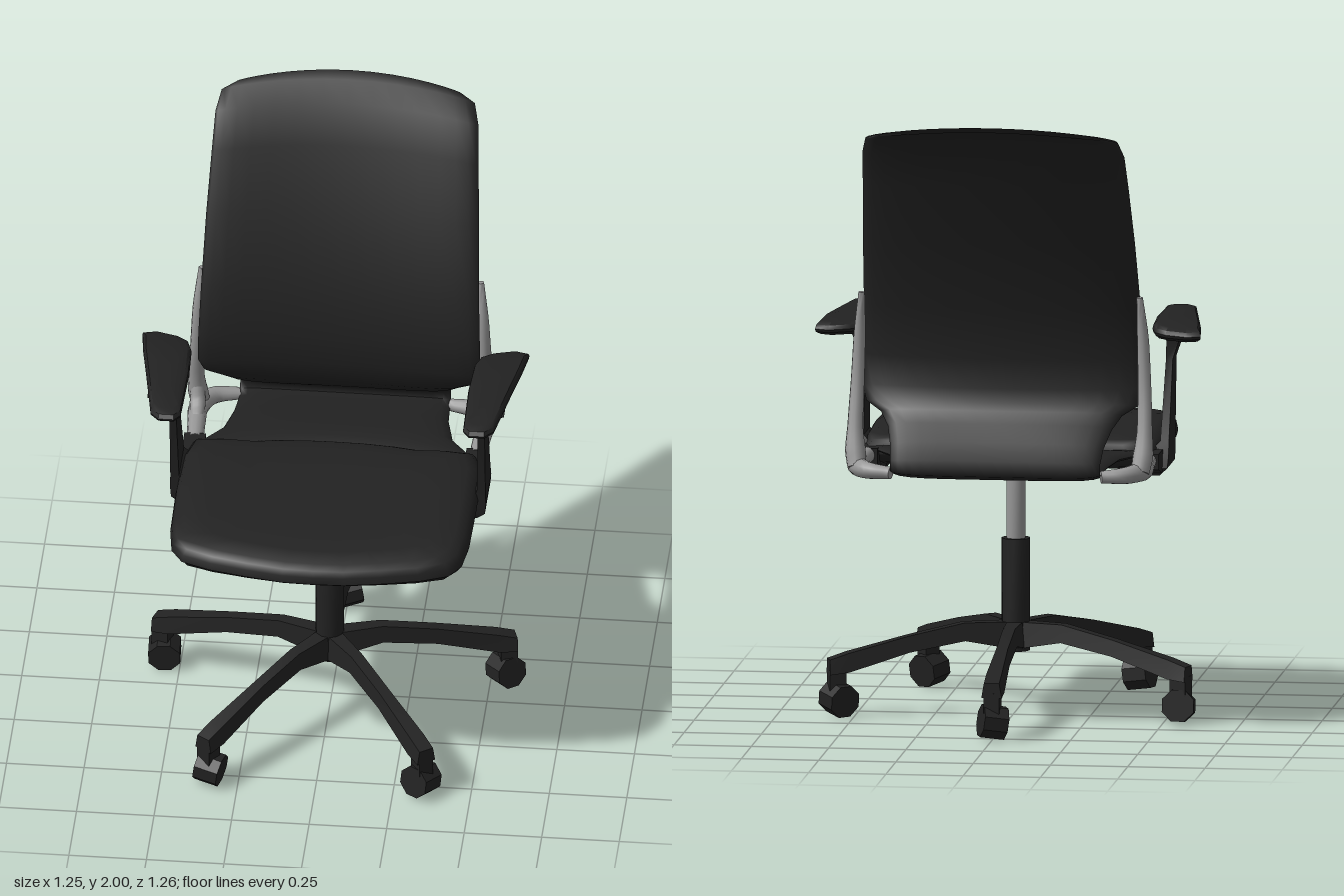
import * as THREE from 'three';
import { toCreasedNormals } from 'three/addons/utils/BufferGeometryUtils.js';

const mat = (name, color) => Object.assign(new THREE.MeshStandardMaterial({ color }), { name });

// Closed skin through equal-length rings of [x, y, z], capped at both ends
function loft(rings, crease = 0.7) {
  const n = rings[0].length, pos = [], idx = [];
  rings.forEach(r => r.forEach(p => pos.push(...p)));
  for (let i = 0; i < rings.length - 1; i++) {
    for (let j = 0; j < n; j++) {
      const a = i * n + j, b = i * n + (j + 1) % n;
      idx.push(a, b, b + n, a, b + n, a + n);
    }
  }
  [0, rings.length - 1].forEach((k, end) => {
    const c = pos.length / 3;
    for (let d = 0; d < 3; d++) pos.push(rings[k].reduce((s, p) => s + p[d], 0) / n);
    for (let j = 0; j < n; j++) {
      const a = k * n + j, b = k * n + (j + 1) % n;
      idx.push(c, ...(end ? [a, b] : [b, a]));
    }
  });
  // Signed volume decides whether the faces must be turned outward
  const v = i => new THREE.Vector3().fromArray(pos, i * 3);
  let volume = 0;
  for (let i = 0; i < idx.length; i += 3) volume += v(idx[i]).dot(v(idx[i + 1]).cross(v(idx[i + 2])));
  if (volume < 0) idx.reverse();
  const g = new THREE.BufferGeometry();
  g.setAttribute('position', new THREE.Float32BufferAttribute(pos, 3));
  g.setIndex(idx);
  return toCreasedNormals(g, crease);
}

// Round bar along a curve, with a radius at each control point
function taperedTube(points, radii, steps = 18, sides = 12) {
  const curve = new THREE.CatmullRomCurve3(points.map(p => new THREE.Vector3(...p)));
  const frames = curve.computeFrenetFrames(steps);
  const rings = [];
  for (let i = 0; i <= steps; i++) {
    const f = i / steps * (radii.length - 1), k = Math.min(Math.floor(f), radii.length - 2);
    const r = THREE.MathUtils.lerp(radii[k], radii[k + 1], f - k), c = curve.getPoint(i / steps);
    rings.push(Array.from({ length: sides }, (_, j) => {
      const a = j / sides * Math.PI * 2;
      return c.clone().addScaledVector(frames.normals[i], r * Math.cos(a))
        .addScaledVector(frames.binormals[i], r * Math.sin(a)).toArray();
    }));
  }
  return loft(rings, 1.2);
}

// Seat cushion: one plan outline stacked in layers [scale, height]
function seatGeometry() {
  const half = [[0, 0.635], [0.1, 0.632], [0.22, 0.613], [0.34, 0.588], [0.43, 0.555], [0.468, 0.5], [0.482, 0.4],
    [0.485, 0.2], [0.482, 0], [0.46, -0.1], [0.38, -0.11], [0.28, -0.105], [0.2, -0.12], [0.1, -0.13], [0, -0.132]];
  const outline = [...half, ...half.slice(1, -1).reverse().map(([x, z]) => [-x, z])];
  const layers = [[0.5, 0.812], [0.86, 0.812], [0.96, 0.825], [0.99, 0.845], [1, 0.87], [0.99, 0.893], [0.965, 0.912],
    [0.91, 0.924], [0.75, 0.928], [0.5, 0.926], [0.2, 0.924]];
  return loft(layers.map(([s, h]) => outline.map(([x, z]) => {
    const zz = 0.25 + (z - 0.25) * s;
    const back = Math.max(0, 0.1 - zz), nose = Math.max(0, zz - 0.35);
    const y = h > 0.86 ? h - back * 0.09 - nose * 0.07 : h + nose * 0.05;
    return [x * s, y, zz];
  })), 1.2);
}

// Shell running from the seat's rear, round the bottom turn and up the back
function shellGeometry() {
  // z, y, half width, half thickness, forward bow of the edges
  const stations = [
    [-0.138, 0.872, 0.46, 0.008, 0.06], [-0.165, 0.868, 0.43, 0.018, 0.045], [-0.22, 0.864, 0.37, 0.022, 0.02],
    [-0.32, 0.855, 0.345, 0.022, 0], [-0.41, 0.843, 0.34, 0.02, 0], [-0.45, 0.852, 0.34, 0.016, 0],
    [-0.457, 0.885, 0.34, 0.016, 0], [-0.41, 0.93, 0.345, 0.02, 0], [-0.345, 0.98, 0.362, 0.022, 0.01],
    [-0.31, 1.02, 0.39, 0.024, 0.02], [-0.295, 1.05, 0.44, 0.024, 0.03], [-0.282, 1.1, 0.456, 0.025, 0.04],
    [-0.277, 1.2, 0.454, 0.026, 0.04], [-0.308, 1.37, 0.448, 0.026, 0.04], [-0.395, 1.6, 0.44, 0.026, 0.04],
    [-0.48, 1.8, 0.43, 0.024, 0.045], [-0.54, 1.92, 0.424, 0.02, 0.045], [-0.585, 1.978, 0.408, 0.015, 0.045],
    [-0.618, 1.993, 0.36, 0.007, 0.045]];
  const N = 32;
  return loft(stations.map(([z, y, w, t, bow], i) => {
    const a = stations[Math.max(0, i - 1)], b = stations[Math.min(stations.length - 1, i + 1)];
    const dz = b[0] - a[0], dy = b[1] - a[1], len = Math.hypot(dz, dy);
    return Array.from({ length: N }, (_, j) => {
      const angle = j / N * Math.PI * 2, u = Math.cos(angle);
      const off = Math.sign(Math.sin(angle)) * t * Math.sqrt(Math.max(0, 1 - u ** 6));
      const drop = 0.03 * u * u * Math.max(0, y - 1.5) / 0.5;
      return [w * u, y - off * dz / len - drop, z + off * dy / len + bow * u * u];
    });
  }), 1.2);
}

// Armrest pad: plan outline in layers, thin at both ends
function padGeometry(s) {
  const outline = [[0.455, 0.33], [0.475, 0.357], [0.525, 0.357], [0.553, 0.325], [0.59, 0.1], [0.612, -0.03],
    [0.624, -0.135], [0.58, -0.148], [0.51, -0.125], [0.472, -0.095], [0.456, -0.04], [0.45, 0.1]];
  const cx = 0.53, cz = 0.1;
  const layers = [[0.45, 1.232], [0.85, 1.245], [0.98, 1.26], [1, 1.27], [0.96, 1.282], [0.85, 1.289], [0.4, 1.292]];
  return loft(layers.map(([k, y]) => outline.map(([x, z]) => {
    const zz = cz + (z - cz) * k;
    return [s * (cx + (x - cx) * k), y - Math.max(0, -zz) * 0.09, zz];
  })), 0.6);
}

// Rectangular sections of a post: x centre, y, rear z, front z, thickness
function postGeometry(s) {
  return loft([[0.445, 0.79, -0.05, 0.12, 0.07], [0.453, 0.815, -0.06, 0.13, 0.106], [0.47, 0.85, -0.05, 0.13, 0.078],
    [0.494, 0.9, -0.03, 0.133, 0.028], [0.497, 1.15, 0.065, 0.162, 0.022], [0.508, 1.21, 0.06, 0.175, 0.04],
    [0.53, 1.25, 0.03, 0.21, 0.09]].map(([x, y, z0, z1, t]) =>
    [[-1, z0], [1, z0], [1, z1], [-1, z1]].map(([d, z]) => [s * (x + d * t / 2), y, z])), 0.5);
}

// Base leg reaching to -z: distance, bottom, top, half width
function legGeometry() {
  return loft([[0, 0.2, 0.29, 0.035], [0.17, 0.232, 0.29, 0.026], [0.35, 0.2, 0.253, 0.025], [0.55, 0.142, 0.203, 0.033],
    [0.612, 0.135, 0.183, 0.033]].map(([r, lo, hi, w]) =>
    [[-w, lo], [w, lo], [w * 0.75, hi], [-w * 0.75, hi]].map(([x, y]) => [x, y, -r])), 0.3);
}

export function createModel() {
  const model = new THREE.Group();
  model.name = 'officeChair';
  const black = mat('black', 0x222222), grey = mat('metalGrey', 0x979797);
  const add = (parent, name, geometry, material, x = 0, y = 0, z = 0) => {
    const m = new THREE.Mesh(geometry, material);
    m.name = name;
    m.position.set(x, y, z);
    parent.add(m);
    return m;
  };
  const cylinder = (r, h, sides) => toCreasedNormals(new THREE.CylinderGeometry(r, r, h, sides), 0.6);

  add(model, 'seatCushion', seatGeometry(), black);
  add(model, 'backShell', shellGeometry(), black);

  // Central column and five-leg base
  const base = new THREE.Group();
  base.name = 'base';
  base.position.z = 0.07;
  model.add(base);
  add(base, 'columnSleeve', cylinder(0.046, 0.365, 12), black, 0, 0.3775);
  add(base, 'gasLift', cylinder(0.031, 0.225, 16), grey, 0, 0.67);
  const legGeo = legGeometry();
  const wheelGeo = cylinder(0.055, 0.08, 8).rotateX(Math.PI / 8).rotateZ(Math.PI / 2);
  wheelGeo.rotateX(Math.PI / 8);
  for (let i = 0; i < 5; i++) {
    const arm = new THREE.Group();
    arm.name = 'baseLeg' + (i + 1);
    arm.rotation.y = i * Math.PI * 2 / 5;
    base.add(arm);
    add(arm, 'leg', legGeo, black);
    add(arm, 'casterStem', new THREE.BoxGeometry(0.05, 0.07, 0.055), black, 0, 0.115, -0.585);
    add(arm, 'casterWheel', wheelGeo, black, 0, 0.053, -0.578);
  }

  // Armrests and metal back supports, mirrored
  for (const s of [1, -1]) {
    const side = new THREE.Group();
    side.name = s > 0 ? 'leftSide' : 'rightSide';
    model.add(side);
    add(side, 'armPad', padGeometry(s), black);
    add(side, 'armPost', postGeometry(s), black);
    add(side, 'armBracket', loft([[0.05, 0.8, 0.87], [-0.06, 0.8, 0.875], [-0.15, 0.825, 0.875]].map(([z, lo, hi]) =>
      [[0.42, lo], [0.49, lo], [0.49, hi], [0.42, hi]].map(([x, y]) => [s * x, y, z])), 0.4), black);
    add(side, 'supportUpright', taperedTube([[s * 0.45, 1.41, -0.312], [s * 0.458, 1.28, -0.296], [s * 0.464, 1.12, -0.303],
      [s * 0.468, 0.98, -0.332], [s * 0.465, 0.9, -0.35], [s * 0.458, 0.85, -0.37]],
    [0.01, 0.019, 0.022, 0.025, 0.034, 0.03]), grey);
    add(side, 'supportFoot', taperedTube([[s * 0.455, 0.852, -0.14], [s * 0.46, 0.852, -0.24], [s * 0.46, 0.851, -0.34],
      [s * 0.42, 0.847, -0.41], [s * 0.34, 0.843, -0.435]], [0.027, 0.029, 0.033, 0.028, 0.02]), grey);
    // Web filling the corner between foot and upright
    add(side, 'supportWeb', taperedTube([[s * 0.46, 0.86, -0.25], [s * 0.463, 0.885, -0.31], [s * 0.466, 0.95, -0.335]],
      [0.02, 0.026, 0.02], 10), grey);
  }
  return model;
}
